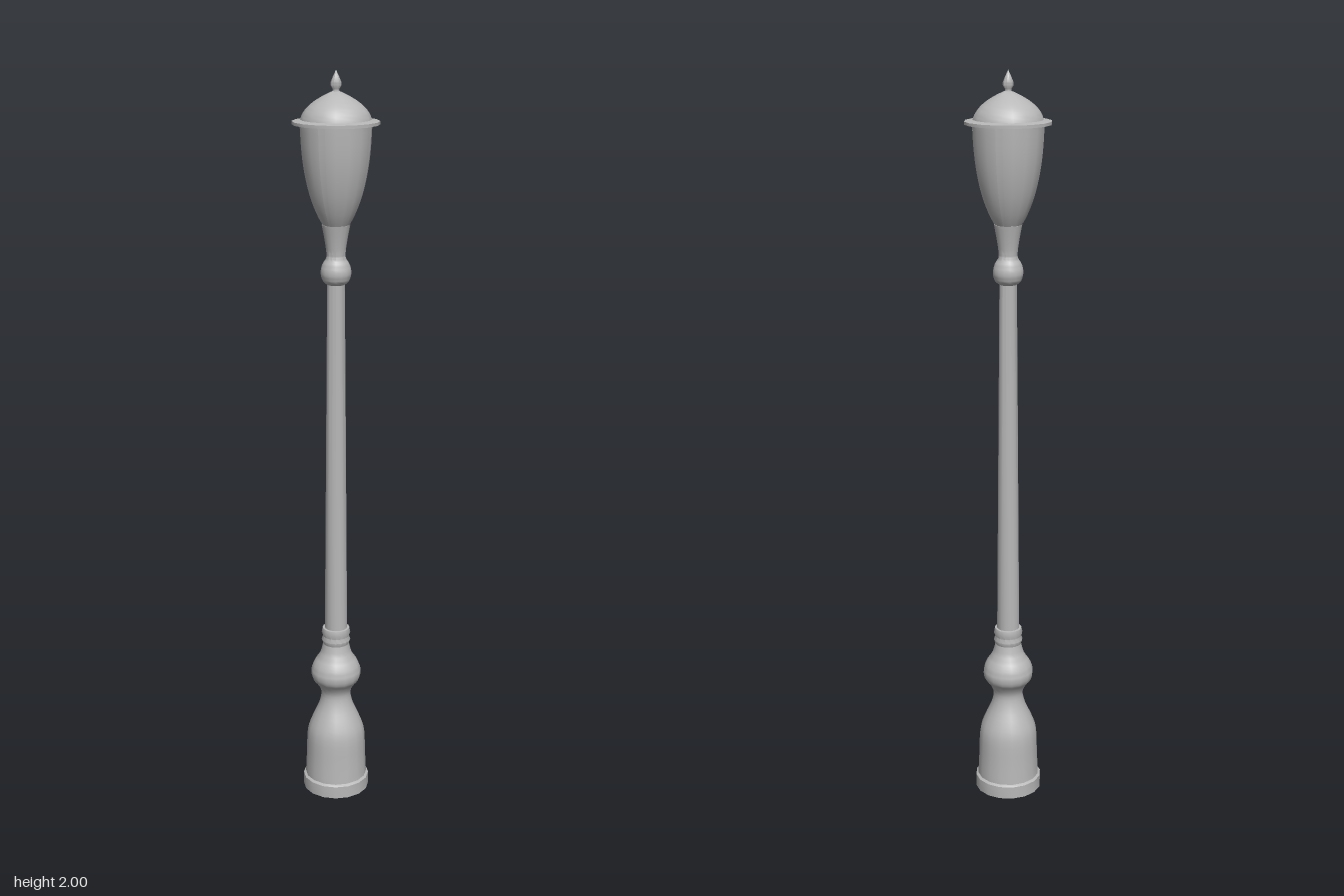
import * as THREE from 'three';
import { toCreasedNormals } from 'three/addons/utils/BufferGeometryUtils.js';

const SIDES = 16;
const TURN = 0.105;

export function createModel() {
  const model = new THREE.Group();
  model.name = 'streetLamp';
  const metal = new THREE.MeshStandardMaterial({ color: 0xb8b8b8, side: THREE.DoubleSide });
  metal.name = 'grey metal';

  const toPoints = (pairs) => pairs.map(([r, y]) => new THREE.Vector2(r, y));
  // Rounds a profile given by a few [radius, height] pairs
  const smooth = (pairs, n) => new THREE.SplineCurve(toPoints(pairs)).getPoints(n);

  // Turned part, listed from bottom to top
  function turned(name, points, phi = 0, arc = Math.PI * 2, sides = SIDES) {
    const geometry = new THREE.LatheGeometry(points, sides, phi, arc);
    const mesh = new THREE.Mesh(toCreasedNormals(geometry, 0.75), metal);
    mesh.name = name;
    mesh.rotation.y = TURN;
    model.add(mesh);
    return mesh;
  }

  // Foot and pedestal
  turned('foot', toPoints([[0, 0], [0.092, 0], [0.092, 0.035], [0.086, 0.04], [0, 0.04]]));
  turned('pedestal', smooth([
    [0.086, 0.038], [0.083, 0.1], [0.08, 0.17], [0.068, 0.21], [0.048, 0.255], [0.041, 0.29],
    [0.051, 0.315], [0.066, 0.335], [0.069, 0.36], [0.06, 0.385], [0.044, 0.41], [0.035, 0.445],
  ], 33));
  turned('lowerCollar', toPoints([
    [0.03, 0.44], [0.036, 0.44], [0.04, 0.452], [0.036, 0.463], [0.04, 0.473], [0.037, 0.487], [0.027, 0.488],
  ]));

  // Tapered shaft
  turned('shaft', toPoints([[0.031, 0.48], [0.023, 1.47]]));

  // Knob and cup carrying the lantern
  turned('upperKnob', smooth([
    [0.023, 1.456], [0.034, 1.465], [0.04, 1.485], [0.036, 1.508], [0.026, 1.525], [0.025, 1.54],
    [0.03, 1.575], [0.037, 1.612],
  ], 21));
  turned('cupRim', toPoints([[0.037, 1.612], [0, 1.612]]));

  // Lantern bowl with four slim ribs
  const bowl = [[0.034, 1.61], [0.05, 1.64], [0.067, 1.685], [0.08, 1.74], [0.088, 1.8], [0.092, 1.87]];
  turned('lanternBowl', smooth(bowl, 14));
  const ribProfile = smooth(bowl.map(([r, y]) => [r + 0.001, y]), 14);
  for (let i = 0; i < 4; i++) {
    turned('lanternRib', ribProfile, (i * Math.PI) / 2 - 0.1, 0.2, 2);
  }

  // Brim, domed cap and finial
  turned('brim', toPoints([[0, 1.866], [0.112, 1.866], [0.112, 1.874], [0.088, 1.878]]));
  turned('cap', smooth([
    [0.091, 1.876], [0.086, 1.89], [0.074, 1.907], [0.055, 1.923], [0.03, 1.938], [0.008, 1.948], [0, 1.95],
  ], 18));
  turned('finial', toPoints([
    [0.01, 1.942], [0.008, 1.952], [0.014, 1.962], [0.014, 1.969], [0.008, 1.983], [0, 2],
  ]), 0, Math.PI * 2, 12);

  return model;
}
